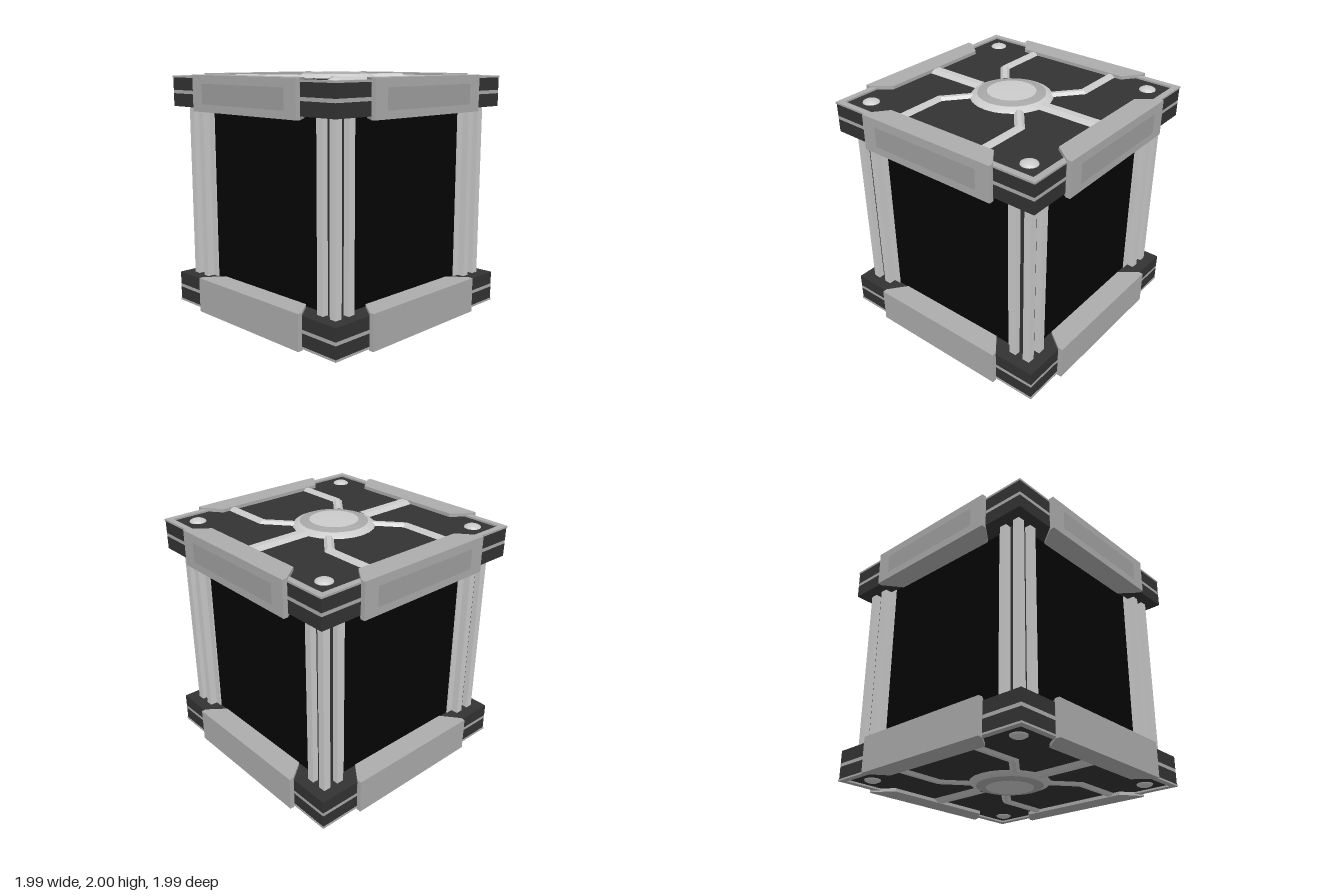
import * as THREE from 'three';

const mat = (color, flatShading = true) => new THREE.MeshStandardMaterial({ color, flatShading });
const light = mat(0xcccccc), smoothLight = mat(0xcccccc, false), smoothGrey = mat(0xa8a8a8, false);
const frame = mat(0xacacac), plaqueGrey = mat(0xa0a0a0);
const dark = mat(0x333333), black = mat(0x040404);

function add(parent, name, geometry, material) {
  const mesh = new THREE.Mesh(geometry, material);
  mesh.name = name;
  parent.add(mesh);
  return mesh;
}

// box given by its lower and upper limits
function box(parent, name, material, x0, x1, y0, y1, z0, z1) {
  const m = add(parent, name, new THREE.BoxGeometry(x1 - x0, y1 - y0, z1 - z0), material);
  m.position.set((x0 + x1) / 2, (y0 + y1) / 2, (z0 + z1) / 2);
}

const points = (list) => list.map(([x, y]) => new THREE.Vector2(x, y));
const square = (r) => points([[-r, -r], [r, -r], [r, r], [-r, r]]);
const lathe = (profile, sides) => new THREE.LatheGeometry(points(profile), sides);

// plan outline (x, z) raised between two heights
function slab(shape, y0, y1) {
  return new THREE.ExtrudeGeometry(shape, { depth: y1 - y0, bevelEnabled: false })
    .rotateX(Math.PI / 2).translate(0, y1, 0);
}

// raised rib with a bevelled section, mitred along a plan path
function ribGeometry(path, halfWidth, y0, y1) {
  const pts = points(path);
  const section = [[-1, y0], [-0.4, y1], [0.4, y1], [1, y0]];
  const pos = [], index = [];
  pts.forEach((p, i) => {
    const a = pts[Math.max(i - 1, 0)], b = pts[Math.min(i + 1, pts.length - 1)];
    const before = (i ? p.clone().sub(a) : b.clone().sub(p)).normalize();
    const after = (i < pts.length - 1 ? b.clone().sub(p) : p.clone().sub(a)).normalize();
    const t = before.clone().add(after).normalize();
    const w = halfWidth / t.dot(before);
    for (const [s, y] of section) pos.push(p.x - t.y * s * w, y, p.y + t.x * s * w);
  });
  for (let i = 0; i < pts.length - 1; i++) {
    for (let j = 0; j < 3; j++) {
      const a = i * 4 + j, b = a + 1, c = a + 4, d = a + 5;
      index.push(a, b, c, b, d, c);
    }
  }
  const g = new THREE.BufferGeometry();
  g.setAttribute('position', new THREE.Float32BufferAttribute(pos, 3));
  g.setIndex(index);
  g.computeVertexNormals();
  return g;
}

// one end cap, modelled as the upper one
function createCap(withPlaques) {
  const cap = new THREE.Group();

  // layered plate with a light band and a raised rim
  box(cap, 'lowerPlate', dark, -0.95, 0.95, 1.715, 1.82, -0.95, 0.95);
  box(cap, 'plateBand', frame, -0.95, 0.95, 1.82, 1.848, -0.95, 0.95);
  box(cap, 'upperPlate', dark, -0.95, 0.95, 1.848, 1.95, -0.95, 0.95);
  const rim = new THREE.Shape(square(0.955));
  rim.holes.push(new THREE.Path(square(0.905)));
  add(cap, 'plateRim', slab(rim, 1.95, 1.965), frame);

  // side brackets, with tapered inner ends
  const outline = new THREE.Shape(points([[-0.61, 0.993], [-0.61, 0.955], [-0.495, 0.806],
    [0.495, 0.806], [0.61, 0.955], [0.61, 0.993]]));
  for (let i = 0; i < 4; i++) {
    const side = new THREE.Group();
    side.name = 'sideBracket';
    side.rotation.y = i * Math.PI / 2;
    add(side, 'bracket', slab(outline, 1.69, 1.978), frame);
    if (withPlaques) {
      add(side, 'plaque', new THREE.PlaneGeometry(0.97, 0.16), plaqueGrey).position.set(0, 1.83, 0.9945);
    }
    cap.add(side);
  }

  // straight and kinked ribs, and corner bolts
  const bolt = lathe([[0.067, 1.948], [0.064, 1.958], [0.045, 1.969], [0.02, 1.974], [0, 1.975]], 20);
  for (const sz of [-1, 1]) {
    add(cap, 'straightRib', ribGeometry([[0, sz * 0.3], [0, sz * 0.83]], 0.072, 1.948, 1.974), light);
    for (const sx of [-1, 1]) {
      const path = [[0.2, 0.23], [0.4, 0.395], [0.83, 0.395]].map(([x, z]) => [sx * x, sz * z]);
      add(cap, 'kinkedRib', ribGeometry(path, 0.04, 1.948, 1.972), light);
      add(cap, 'cornerBolt', bolt, smoothLight).position.set(sx * 0.765, 0, sz * 0.765);
    }
  }

  // central hub: sloped ring, darker band and pale centre
  add(cap, 'hubRing', lathe([[0.33, 1.945], [0.315, 1.964], [0.27, 1.983]], 24), smoothLight);
  add(cap, 'hubBand', lathe([[0.27, 1.983], [0.23, 1.991], [0.193, 1.996]], 24), smoothGrey);
  add(cap, 'hubCentre', lathe([[0.193, 1.996], [0.1, 1.999], [0, 2]], 24), smoothLight);
  return cap;
}

export function createModel() {
  const model = new THREE.Group();
  model.name = 'crate';

  box(model, 'core', black, -0.79, 0.79, 0.2, 1.8, -0.79, 0.79);

  // corner pillars: dark post, light corner bar, stepped bars on both faces
  const y0 = 0.27, y1 = 1.73;
  for (let i = 0; i < 4; i++) {
    const pillar = new THREE.Group();
    pillar.name = 'cornerPillar';
    pillar.rotation.y = i * Math.PI / 2;
    box(pillar, 'post', dark, 0.7, 0.81, y0, y1, 0.7, 0.81);
    box(pillar, 'cornerBar', light, 0.8, 0.86, y0, y1, 0.8, 0.86);
    box(pillar, 'frontBar', light, 0.67, 0.73, y0, y1, 0.7, 0.86);
    box(pillar, 'frontStep', light, 0.61, 0.67, y0, y1, 0.7, 0.8);
    box(pillar, 'sideBar', light, 0.7, 0.86, y0, y1, 0.67, 0.73);
    box(pillar, 'sideStep', light, 0.7, 0.8, y0, y1, 0.61, 0.67);
    model.add(pillar);
  }

  const top = createCap(true);
  top.name = 'topCap';
  const bottom = createCap(false);
  bottom.name = 'bottomCap';
  bottom.rotation.x = Math.PI;
  bottom.position.y = 2;
  model.add(top, bottom);
  return model;
}
